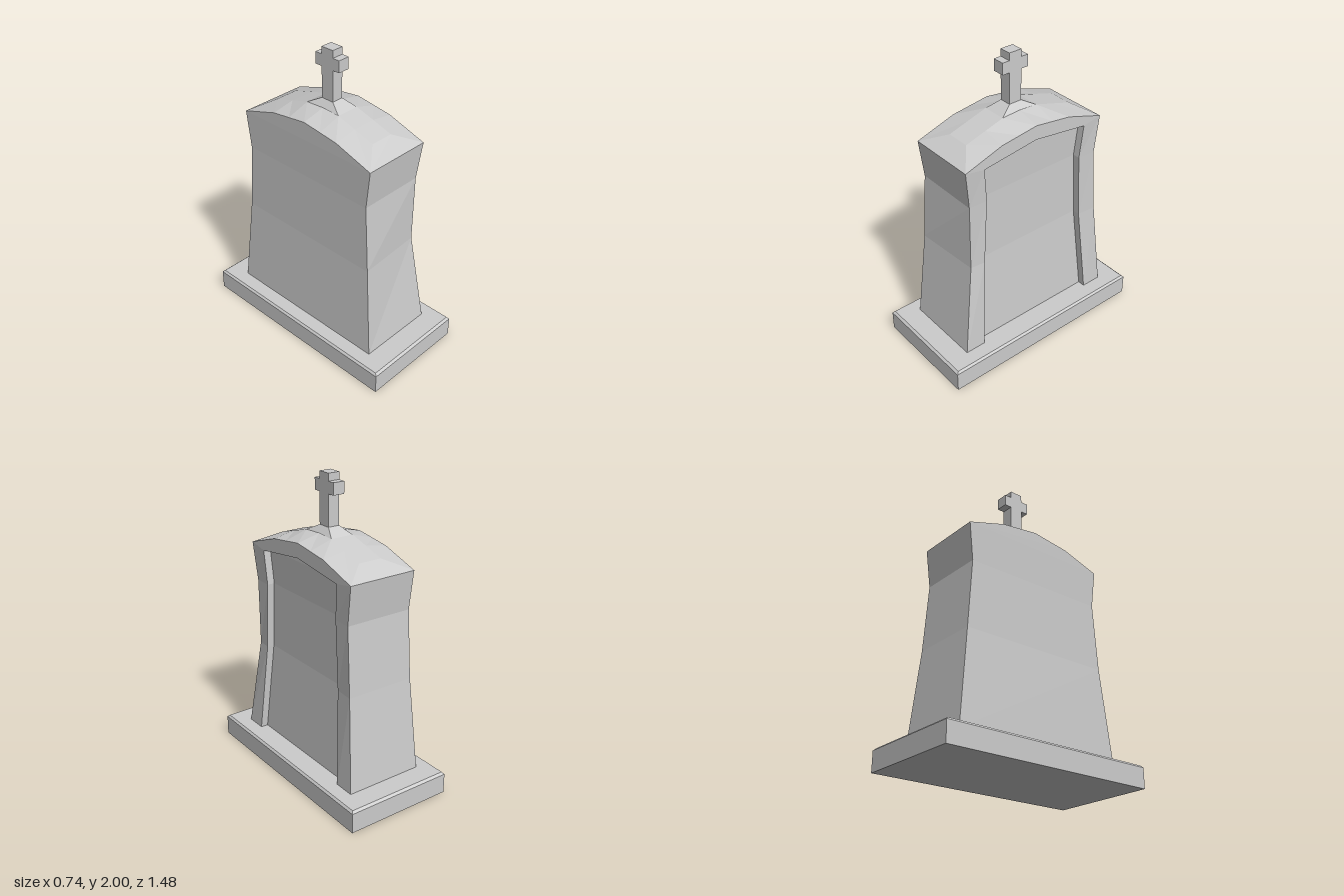
import * as THREE from 'three';

const material = new THREE.MeshStandardMaterial({ color: 0xcccccc, flatShading: true });

// Collects quads (corners counter-clockwise from outside) into one faceted mesh
function facetMesh(name, build) {
  const pos = [];
  const tri = (a, b, c) => pos.push(...a, ...b, ...c);
  const quad = (a, b, c, d) => { tri(a, b, c); tri(a, c, d); };
  build(quad, tri);
  const geo = new THREE.BufferGeometry();
  geo.setAttribute('position', new THREE.Float32BufferAttribute(pos, 3));
  geo.computeVertexNormals();
  const mesh = new THREE.Mesh(geo, material);
  mesh.name = name;
  return mesh;
}

// Four corners of a level, counter-clockwise seen from outside
const ring = (x, y, z) => [[-x, y, z], [x, y, z], [x, y, -z], [-x, y, -z]];

// Joins stacked four-cornered levels on the chosen sides
function loft(quad, rings, sides = [0, 1, 2, 3]) {
  for (let i = 0; i < rings.length - 1; i++) {
    for (const k of sides) {
      const n = (k + 1) % 4;
      quad(rings[i][k], rings[i][n], rings[i + 1][n], rings[i + 1][k]);
    }
  }
}

export function createModel() {
  const group = new THREE.Group();
  group.name = 'tombstone';

  // Plinth with a small bevel
  group.add(facetMesh('plinth', (quad) => {
    const rings = [ring(0.37, 0, 0.74), ring(0.37, 0.133, 0.74), ring(0.358, 0.147, 0.725)];
    loft(quad, rings);
    quad(...rings[2]);
    quad(...[...rings[0]].reverse());
  }));

  // Flared body levels, with one worn corner
  const levels = [ring(0.265, 0.145, 0.585), ring(0.235, 0.77, 0.525),
    ring(0.23, 1.22, 0.495), ring(0.235, 1.475, 0.525)];
  levels[1][1] = [0.215, 0.77, 0.495];
  levels[2][1] = [0.22, 1.22, 0.495];
  const top = levels[3];

  // Recess opening: x, y, half width; the last level is its apex
  const opening = [[0.265, 0.145, 0.445], [0.225, 0.77, 0.395], [0.225, 1.22, 0.37],
    [0.235, 1.45, 0.39], [0.235, 1.5, 0]];
  const depth = 0.05;
  const rim = (i, s) => [opening[i][0], opening[i][1], s * opening[i][2]];
  const inner = (i, s) => [opening[i][0] - depth, opening[i][1], s * opening[i][2]];

  group.add(facetMesh('body', (quad, tri) => {
    loft(quad, levels, [0, 2, 3]);
    // Pilasters beside the recess
    for (let i = 0; i < 3; i++) {
      quad(levels[i][1], rim(i, 1), rim(i + 1, 1), levels[i + 1][1]);
      quad(rim(i, -1), levels[i][2], levels[i + 1][2], rim(i + 1, -1));
    }
    // Gables under the curved roof
    const eave = (x, s) => [x, 1.56, 0.26 * s];
    const crown = (x) => [x, 1.595, 0];
    const fan = (p) => { for (let i = 1; i < p.length - 1; i++) tri(p[0], p[i], p[i + 1]); };
    fan([rim(3, 1), rim(4, 1), crown(0.235), eave(0.235, 1), top[1]]);
    fan([rim(3, -1), top[2], eave(0.235, -1), crown(0.235), rim(4, 1)]);
    fan([top[3], top[0], eave(-0.235, 1), crown(-0.235), eave(-0.235, -1)]);
  }));

  // Sunken panel with its jambs and soffit
  group.add(facetMesh('recessedPanel', (quad) => {
    for (let i = 0; i < 4; i++) {
      quad(inner(i, 1), inner(i, -1), inner(i + 1, -1), inner(i + 1, 1));
      quad(rim(i, 1), inner(i, 1), inner(i + 1, 1), rim(i + 1, 1));
      quad(inner(i, -1), rim(i, -1), rim(i + 1, -1), inner(i + 1, -1));
    }
  }));

  // Curved hipped roof: outer z, outer y, inner z, inner y
  const half = [[0.525, 1.475, 0.4, 1.545], [0.26, 1.56, 0.26, 1.587], [0.13, 1.5775, 0.13, 1.625]];
  const stations = [...half, [0, 1.595, 0, 1.63],
    ...[...half].reverse().map(([a, b, c, d]) => [-a, b, -c, d])];
  group.add(facetMesh('roof', (quad) => {
    const rows = stations.map(([oz, oy, iz, iy]) =>
      [[-0.235, oy, oz], [-0.08, iy, iz], [0.08, iy, iz], [0.235, oy, oz]]);
    for (let s = 0; s < rows.length - 1; s++) {
      for (let k = 0; k < 3; k++) quad(rows[s][k], rows[s][k + 1], rows[s + 1][k + 1], rows[s + 1][k]);
    }
    const [a, b, c, d] = rows[0];
    quad(a, d, c, b);
    const [e, f, g, h] = rows[rows.length - 1];
    quad(h, e, f, g);
  }));

  // Tapered foot of the cross
  group.add(facetMesh('crossFoot', (quad) => {
    const rings = [ring(0.08, 1.625, 0.13), ring(0.04, 1.67, 0.045)];
    loft(quad, rings);
    quad(...rings[1]);
  }));

  // Cross, its arms running along z
  const outline = new THREE.Shape([[-0.045, 1.65], [0.045, 1.65], [0.045, 1.875], [0.095, 1.875],
    [0.095, 1.952], [0.045, 1.952], [0.045, 2], [-0.045, 2], [-0.045, 1.952], [-0.095, 1.952],
    [-0.095, 1.875], [-0.045, 1.875]].map(([x, y]) => new THREE.Vector2(x, y)));
  const crossGeo = new THREE.ExtrudeGeometry(outline, { depth: 0.08, bevelEnabled: false });
  crossGeo.translate(0, 0, -0.04).rotateY(Math.PI / 2);
  const cross = new THREE.Mesh(crossGeo, material);
  cross.name = 'cross';
  group.add(cross);

  return group;
}
